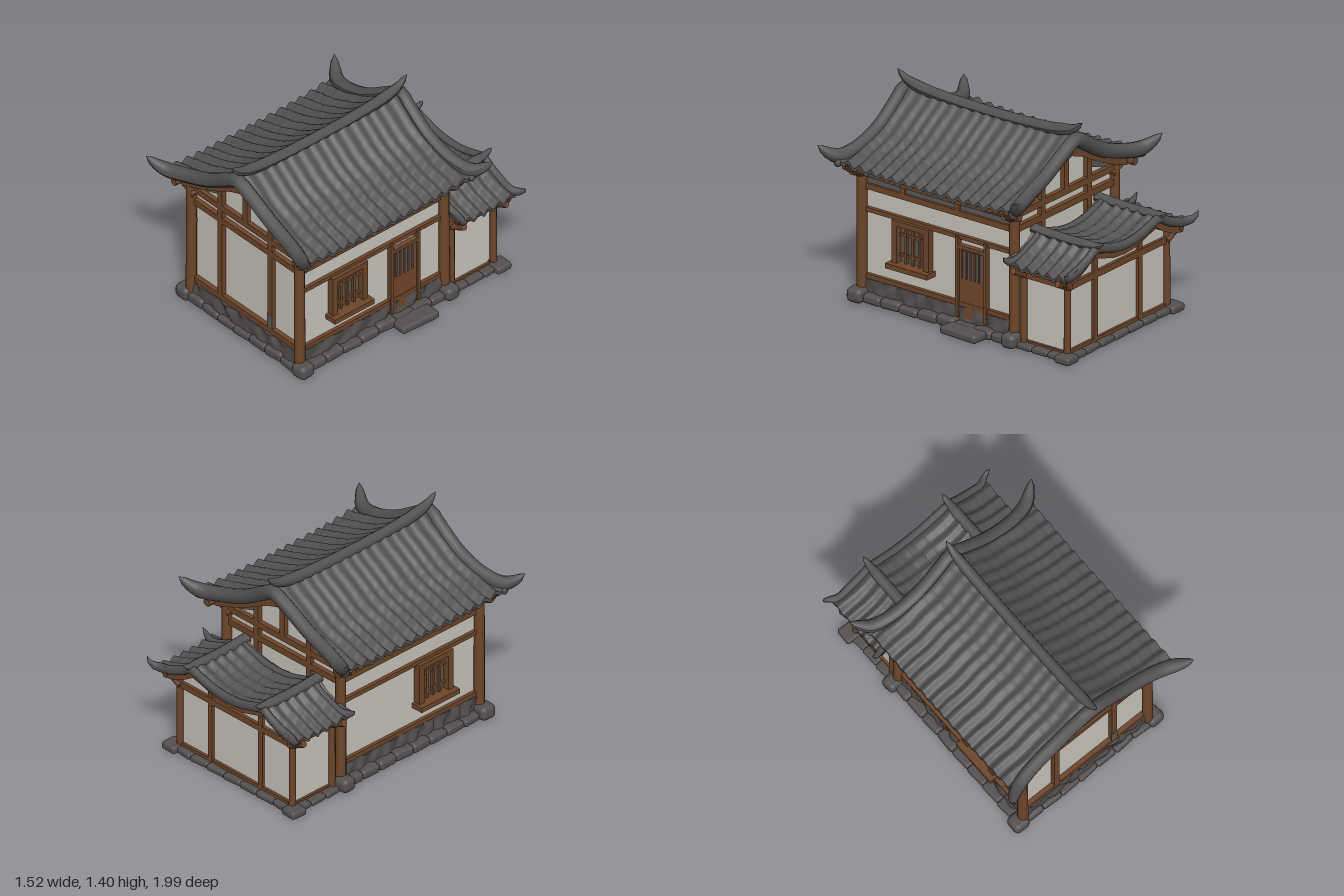
import * as THREE from 'three';
import { RoundedBoxGeometry } from 'three/addons/geometries/RoundedBoxGeometry.js';

const paint = (name, color) => Object.assign(new THREE.MeshStandardMaterial({ color }), { name });

export function createModel() {
  const tile = paint('roof tile grey', 0x545252);
  const wood = paint('timber brown', 0x6e462a);
  const doorWood = paint('door brown', 0x744629);
  const plaster = paint('plaster white', 0xcac6be);
  const stone = paint('stone grey', 0x54504f);
  const shade = paint('panel grey', 0x5c5a58);

  const model = new THREE.Group();
  let seed = 7;
  const rnd = () => (seed = (seed * 16807) % 2147483647) / 2147483647;
  const V = (x, y, z) => new THREE.Vector3(x, y, z);

  const add = (name, geo, mat) => {
    const m = new THREE.Mesh(geo, mat);
    m.name = name;
    model.add(m);
    return m;
  };
  // Box given by its min and max corners
  const box = (name, mat, x0, x1, y0, y1, z0, z1) => {
    const m = add(name, new THREE.BoxGeometry(x1 - x0, y1 - y0, z1 - z0), mat);
    m.position.set((x0 + x1) / 2, (y0 + y1) / 2, (z0 + z1) / 2);
    return m;
  };
  // Round log between two points
  const log = (name, a, b, r) => {
    const d = b.clone().sub(a);
    const m = add(name, new THREE.CylinderGeometry(r * 0.95, r, d.length(), 10), wood);
    m.position.copy(a).lerp(b, 0.5);
    m.quaternion.setFromUnitVectors(V(0, 1, 0), d.normalize());
    return m;
  };
  const rock = (x, y, z, w, h, d) => {
    const m = add('stone', new RoundedBoxGeometry(w, h, d, 2, Math.min(w, h, d) * 0.35), stone);
    m.position.set(x, y, z);
    m.rotation.set(0, (rnd() - 0.5) * 0.2, (rnd() - 0.5) * 0.08);
  };
  // Ridge roll that swells along a curve and closes at its tips
  const roll = (name, pts, r, tall = 1, taperA = 0.15, taperB = 0.15) => {
    const curve = new THREE.CatmullRomCurve3(pts), n = 40, k = 10;
    const geo = new THREE.TubeGeometry(curve, n, r, k);
    const p = geo.attributes.position;
    for (let i = 0; i <= n; i++) {
      const t = i / n, c = curve.getPointAt(t);
      const ease = (d, w) => (w ? Math.sqrt(Math.min(1, d / w)) : 1);
      const s = ease(t, taperA) * ease(1 - t, taperB);
      for (let j = 0; j <= k; j++) {
        const q = i * (k + 1) + j;
        p.setXYZ(q, c.x + (p.getX(q) - c.x) * s, c.y + (p.getY(q) - c.y) * s * tall, c.z + (p.getZ(q) - c.z) * s);
      }
    }
    geo.computeVertexNormals();
    add(name, geo, tile);
  };
  // Smooth height lookup through [x, y] points, with x rising
  const profile = (pts) => {
    const c = new THREE.SplineCurve(pts.map((a) => new THREE.Vector2(...a))).getPoints(120);
    return (x) => {
      const i = Math.max(1, c.findIndex((q) => q.x >= x));
      const a = c[i - 1], b = c[i];
      return a.y + ((b.y - a.y) * (x - a.x)) / (b.x - a.x);
    };
  };
  // Curved roof layer bent over a profile, with ribs that deepen towards the eave and stepped courses
  const sheet = (name, mat, f, side, w, z0, z1, drop, t, ribbed) => {
    const geo = new THREE.BoxGeometry(w, 1, z1 - z0, 54, 1, ribbed ? 120 : 6);
    const p = geo.attributes.position, half = (z1 - z0) / 2;
    for (let i = 0; i < p.count; i++) {
      const u = Math.min(w - 1e-4, Math.max(1e-4, p.getX(i) + w / 2)), z = p.getZ(i);
      let y = f(u) - drop + (p.getY(i) > 0 ? 0 : -t);
      y += 0.03 * (u / w) ** 4 * Math.abs(z / half) ** 4;
      if (ribbed) {
        const wave = (z + 0.006 * Math.sin(z * 17) + 0.003 * Math.sin(u * 23)) / 0.088;
        y += (0.007 + (0.009 * u) / w) * Math.cos(wave * Math.PI * 2) + 0.004 * (((u / w) * 9) % 1);
      }
      p.setXYZ(i, side * u, y, z + (z0 + z1) / 2);
    }
    if (side < 0) {
      const ix = geo.index.array;
      for (let i = 0; i < ix.length; i += 3) [ix[i], ix[i + 1]] = [ix[i + 1], ix[i]];
    }
    geo.computeVertexNormals();
    add(name, geo, mat);
  };
  // Flat symmetrical plate outlined by its right half, from top centre to bottom centre
  const plate = (name, mat, half, z0, z1) => {
    const pts = [...half, ...half.map(([x, y]) => [-x, y]).reverse()].map((a) => new THREE.Vector2(...a));
    const geo = new THREE.ExtrudeGeometry(new THREE.Shape(pts), { depth: z1 - z0, bevelEnabled: false });
    add(name, geo, mat).position.z = z0;
  };
  const sides = [-1, 1];

  // Plaster walls
  plate('mainWalls', plaster, [[0.001, 1.2], [0.26, 1.06], [0.5, 0.93], [0.5, 0.05], [0.001, 0.05]], -0.41, 0.785);
  plate('annexWalls', plaster, [[0.001, 0.62], [0.2, 0.65], [0.33, 0.7], [0.5, 0.57], [0.5, 0.02], [0.001, 0.02]], -0.84, -0.4);

  // Rough stone base, its faces pushed in and out by smooth waves
  const base = new THREE.BoxGeometry(1.05, 0.145, 1.26, 40, 4, 48);
  const bp = base.attributes.position;
  for (let i = 0; i < bp.count; i++) {
    const x = bp.getX(i), y = bp.getY(i), z = bp.getZ(i);
    const k = 0.007 * (Math.sin(x * 31 + z * 27 + y * 40) + Math.sin(z * 53 - x * 47 - y * 25));
    bp.setXYZ(i, x + Math.sign(x) * k, y + (y > 0.07 ? k * 0.4 : 0), z + Math.sign(z) * k);
  }
  base.computeVertexNormals();
  add('foundation', base, stone).position.set(0, 0.085, 0.195);
  box('groundSlab', stone, -0.53, 0.53, 0, 0.03, -0.87, 0.82);
  for (const s of sides) {
    for (let i = 0; i < 8; i++) {
      const h = 0.05 + rnd() * 0.025;
      rock(s * 0.53, h / 2 + 0.004, 0.7 - i * 0.15, 0.1, h, 0.155);
    }
    for (let i = 0; i < 3; i++) rock(s * 0.53, 0.022, -0.53 - i * 0.13, 0.08, 0.04, 0.13);
    rock(s * 0.56, 0.05, 0.815, 0.12, 0.1, 0.12);
    rock(s * 0.56, 0.05, -0.43, 0.12, 0.1, 0.11);
    rock(s * 0.55, 0.028, -0.87, 0.12, 0.055, 0.12);
  }
  for (let i = 0; i < 7; i++) {
    const h = 0.05 + rnd() * 0.025;
    rock(-0.45 + i * 0.15, h / 2 + 0.004, 0.82, 0.155, h, 0.07);
    rock(-0.45 + i * 0.15, 0.022, -0.865, 0.15, 0.042, 0.07);
  }
  rock(0.595, 0.032, -0.09, 0.185, 0.055, 0.3);

  // Main timber frame
  for (const s of sides) {
    for (const z of [0.81, -0.425]) {
      log('cornerPost', V(s * 0.52, 0.07, z), V(s * 0.52, 0.93, z), 0.037);
      log('eaveBracket', V(s * 0.48, 0.86, z), V(s * 0.625, 0.925, z), 0.03);
    }
    log('eavePurlin', V(s * 0.6, 0.93, -0.53), V(s * 0.6, 0.93, 0.89), 0.028);
    const x0 = s > 0 ? 0.49 : -0.525, x1 = x0 + 0.035;
    box('topRail', wood, x0, x1, 0.895, 0.94, -0.42, 0.8);
    box('upperRail', wood, x0, x1, 0.775, 0.815, -0.42, 0.8);
    box('middleRail', wood, x0, x1, 0.62, 0.65, -0.42, 0.8);
    box('sillRail', wood, x0, x1, 0.16, 0.19, -0.42, 0.8);
    box('eavePanel', shade, s * 0.504 - 0.004, s * 0.504 + 0.004, 0.815, 0.895, -0.4, 0.78);
    for (const z of [0.48, 0.04]) box('eaveStrut', wood, x0, x1, 0.81, 0.9, z - 0.018, z + 0.018);

    // Lattice window
    const p = (name, mat, depth, y0, y1, z0, z1) =>
      box(name, mat, Math.min(s * 0.49, s * depth), Math.max(s * 0.49, s * depth), y0, y1, z0, z1);
    p('windowPane', shade, 0.506, 0.34, 0.61, 0.27, 0.53);
    for (const z of [0.25, 0.507]) p('windowJamb', wood, 0.55, 0.32, 0.62, z, z + 0.043);
    p('windowHead', wood, 0.55, 0.59, 0.628, 0.25, 0.55);
    p('windowSill', wood, 0.59, 0.3, 0.335, 0.23, 0.57);
    for (const z of [0.345, 0.4, 0.455]) p('windowBar', wood, 0.525, 0.33, 0.6, z - 0.009, z + 0.009);
    for (const y of [0.39, 0.53]) p('windowBar', wood, 0.522, y - 0.009, y + 0.009, 0.27, 0.53);
  }

  // Gable framing, front and back
  for (const z of [0.795, -0.42]) {
    const a = z - 0.022, b = z + 0.022;
    box('tieBeam', wood, -0.57, 0.57, 0.875, 0.92, a, b);
    box('lowerTieBeam', wood, -0.5, 0.5, 0.775, 0.82, a, b);
    box('gableSill', wood, -0.5, 0.5, 0.16, 0.2, a, b);
    box('kingPost', wood, -0.022, 0.022, 0.9, 1.18, a, b);
    for (const s of sides) {
      box('gablePost', wood, s * 0.24 - 0.022, s * 0.24 + 0.022, 0.17, 1.06, a, b);
      const tri = [[0.26, 0.975], [0.4, 0.925], [0.5, 0.92], [0.26, 1.05]].map(([x, y]) => new THREE.Vector2(s * x, y));
      const g = new THREE.ExtrudeGeometry(new THREE.Shape(tri), { depth: 0.008, bevelEnabled: false });
      add('gableCornerPanel', g, shade).position.z = z > 0 ? 0.784 : -0.417;
    }
  }
  box('postPatch', shade, 0.215, 0.264, 0.215, 0.31, 0.81, 0.819);

  // Door on the right-hand wall
  box('doorPanel', doorWood, 0.49, 0.522, 0.085, 0.58, -0.2, 0.035);
  box('doorGrille', shade, 0.515, 0.526, 0.36, 0.55, -0.165, 0.005);
  for (let i = 0; i < 5; i++) box('grilleBar', doorWood, 0.515, 0.534, 0.36, 0.55, -0.15 + i * 0.034, -0.139 + i * 0.034);
  for (const z of [-0.208, 0.02]) box('doorPost', wood, 0.49, 0.537, 0.085, 0.64, z, z + 0.022);
  box('doorHead', wood, 0.49, 0.537, 0.56, 0.585, -0.2, 0.035);

  // Main roof
  const mainF = profile([[0, 1.3], [0.1, 1.23], [0.25, 1.13], [0.4, 1.06], [0.55, 1.01], [0.68, 0.97]]);
  for (const s of sides) {
    sheet('mainRoofTiles', tile, mainF, s, 0.68, -0.5, 0.86, 0, 0.025, true);
    sheet('mainRoofBoards', wood, mainF, s, 0.65, -0.48, 0.84, 0.035, 0.025, false);
  }
  const mid = 0.18;
  const barge = [[0.76, 1.1, 0.805], [0.71, 1.045, 0.765], [0.64, 1.01, 0.72], [0.5, 1.03, 0.685], [0.3, 1.1, 0.675], [0.1, 1.22, 0.685]];
  for (const d of sides) {
    const right = barge.map(([x, y, z]) => V(x, y, mid + d * z));
    const left = barge.map(([x, y, z]) => V(-x, y, mid + d * z)).reverse();
    roll('bargeRoll', [...right, V(0, 1.275, mid + d * 0.695), ...left], 0.046, 1.12, 0.09, 0.09);
    // Tile ends that close the eave below each upturned corner
    for (const s of sides) {
      roll('eaveCornerTile', [V(s * 0.5, 1.01, mid + d * 0.685), V(s * 0.62, 0.98, mid + d * 0.7), V(s * 0.69, 0.975, mid + d * 0.72)], 0.032, 1, 0, 0.06);
    }
    const z = mid + d * 0.64;
    plate('bargeBoard', wood, [[0.001, 1.25], [0.1, 1.19], [0.3, 1.07], [0.5, 0.995], [0.66, 0.965],
      [0.63, 0.91], [0.56, 0.905], [0.4, 0.965], [0.24, 1.04], [0.1, 1.115], [0.001, 1.15]], z - 0.025, z + 0.025);
  }
  roll('mainRidge', [[0.75, 1.4], [0.68, 1.345], [0.55, 1.31], [0.3, 1.29], [0, 1.285], [-0.3, 1.29], [-0.55, 1.31], [-0.68, 1.345], [-0.75, 1.4]]
    .map(([z, y]) => V(0, y, mid + z)), 0.038, 1.1, 0.12, 0.12);

  // Annex timber frame
  for (const s of sides) {
    log('annexPost', V(s * 0.515, 0.04, -0.85), V(s * 0.515, 0.56, -0.85), 0.024);
    log('annexPost', V(s * 0.51, 0.04, -0.495), V(s * 0.51, 0.56, -0.495), 0.024);
    log('annexEavePurlin', V(s * 0.585, 0.575, -0.92), V(s * 0.585, 0.575, -0.48), 0.022);
    for (const z of [-0.5, -0.86]) log('annexBracket', V(s * 0.5, 0.5, z), V(s * 0.63, 0.565, z), 0.024);
    box('annexSideRail', wood, s * 0.505 - 0.016, s * 0.505 + 0.016, 0.485, 0.52, -0.85, -0.46);
    box('annexSideSill', wood, s * 0.505 - 0.012, s * 0.505 + 0.012, 0.03, 0.055, -0.85, -0.46);
    box('annexBackPost', wood, s * 0.23 - 0.02, s * 0.23 + 0.02, 0.04, 0.65, -0.86, -0.82);
  }
  box('annexBackRail', wood, -0.52, 0.52, 0.48, 0.525, -0.862, -0.82);
  box('annexBackSill', wood, -0.52, 0.52, 0.035, 0.065, -0.858, -0.82);

  // Annex roof with two ridges and a dip between them
  const annexF = profile([[0, 0.67], [0.12, 0.68], [0.25, 0.72], [0.33, 0.745], [0.42, 0.69], [0.52, 0.645], [0.64, 0.605]]);
  for (const s of sides) {
    sheet('annexRoofTiles', tile, annexF, s, 0.64, -0.95, -0.45, 0, 0.02, true);
    sheet('annexRoofBoards', wood, annexF, s, 0.61, -0.92, -0.46, 0.03, 0.02, false);
    roll('annexRidge', [[-1, 0.78], [-0.95, 0.755], [-0.8, 0.74], [-0.6, 0.74], [-0.43, 0.75]]
      .map(([z, y]) => V(s * 0.33, y, z)), 0.037, 0.9, 0.25, 0);
  }
  const annexBarge = [[0.7, 0.675], [0.66, 0.635], [0.6, 0.62], [0.5, 0.645], [0.4, 0.69], [0.33, 0.73], [0.25, 0.71], [0.12, 0.675]];
  for (const [z, d] of [[-0.935, -0.03], [-0.49, 0.02]]) {
    const at = (s) => annexBarge.map(([x, y]) => V(s * x, y, z + (x > 0.65 ? d : 0)));
    roll('annexBargeRoll', [...at(1), V(0, 0.665, z), ...at(-1).reverse()], 0.026, 1.3, 0.08, 0.08);
  }
  plate('annexBargeBoard', wood, [[0.001, 0.645], [0.12, 0.655], [0.25, 0.695], [0.33, 0.715], [0.42, 0.66], [0.52, 0.615], [0.62, 0.585],
    [0.6, 0.54], [0.5, 0.56], [0.4, 0.61], [0.33, 0.655], [0.25, 0.635], [0.12, 0.595], [0.001, 0.585]], -0.915, -0.865);

  return model;
}
